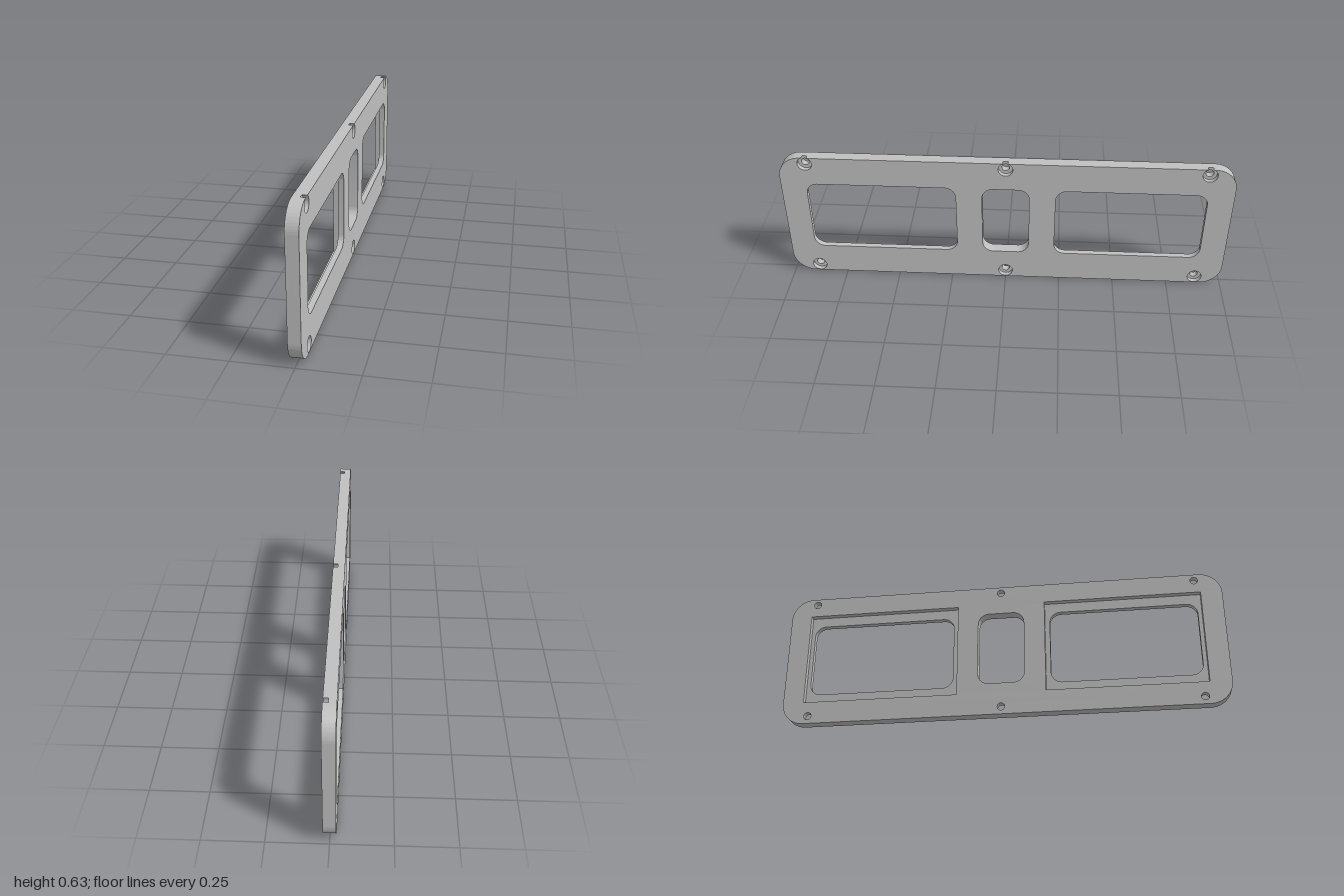
import * as THREE from 'three';
import { toCreasedNormals } from 'three/addons/utils/BufferGeometryUtils.js';

const TOP = 0.628, HALF_T = 0.026, CORNER = 0.1;
const SCREW_Z = [0.88, 0, -0.88], SCREW_TOP = 0.598, SCREW_LOW = 0.035;
const HOLE_R = 0.017, BORE_R = 0.032;

// Rounded rectangle as a path (radius 0 gives sharp corners)
function rect(u0, u1, v0, v1, r) {
  const p = new THREE.Path();
  if (r === 0) {
    p.moveTo(u0, v0).lineTo(u1, v0).lineTo(u1, v1).lineTo(u0, v1).closePath();
    return p;
  }
  p.absarc(u1 - r, v0 + r, r, -Math.PI / 2, 0);
  p.absarc(u1 - r, v1 - r, r, 0, Math.PI / 2);
  p.absarc(u0 + r, v1 - r, r, Math.PI / 2, Math.PI);
  p.absarc(u0 + r, v0 + r, r, Math.PI, Math.PI * 1.5);
  p.closePath();
  return p;
}

function circle(u, v, r) {
  return new THREE.Path().absarc(u, v, r, 0, Math.PI * 2);
}

// Plate outline; the upper counterbores break through the top edge when notched
function outline(notched) {
  const s = new THREE.Shape(), r = CORNER;
  s.absarc(1 - r, r, r, -Math.PI / 2, 0);
  s.absarc(1 - r, TOP - r, r, 0, Math.PI / 2);
  if (notched) {
    const a = Math.asin((TOP - SCREW_TOP) / BORE_R);
    for (const u of SCREW_Z) s.absarc(u, SCREW_TOP, BORE_R, a, Math.PI - a, true);
  }
  s.absarc(r - 1, TOP - r, r, Math.PI / 2, Math.PI);
  s.absarc(r - 1, r, r, Math.PI, Math.PI * 1.5);
  s.closePath();
  return s;
}

export function createModel() {
  const group = new THREE.Group();
  group.name = 'framePlate';
  const grey = new THREE.MeshStandardMaterial({ color: 0xc0c0c0 });
  grey.name = 'plain grey';

  const centreWindow = () => rect(-0.105, 0.105, 0.147, 0.493, 0.05);
  const sideWindows = () => [
    rect(0.222, 0.887, 0.147, 0.493, 0.05), rect(-0.887, -0.222, 0.147, 0.493, 0.05)];
  const recesses = () => [
    rect(0.2, 0.905, 0.102, 0.538, 0), rect(-0.905, -0.2, 0.102, 0.538, 0)];
  const screws = (r, rows) => rows.flatMap(v => SCREW_Z.map(u => circle(u, v, r)));
  const bothRows = [SCREW_LOW, SCREW_TOP];

  // Each layer is extruded through the thickness, then turned to face +x
  function layer(name, x0, x1, notched, holes) {
    const shape = outline(notched);
    shape.holes.push(centreWindow(), ...holes);
    const extruded = new THREE.ExtrudeGeometry(shape,
      { depth: x1 - x0, bevelEnabled: false, curveSegments: 20 });
    extruded.rotateY(Math.PI / 2);
    extruded.translate(x0, 0, 0);
    const mesh = new THREE.Mesh(toCreasedNormals(extruded, 0.6), grey);
    mesh.name = name;
    group.add(mesh);
  }

  // Inner layer with the square-cornered panel recesses
  layer('recessLayer', -HALF_T, 0, false, [...recesses(), ...screws(HOLE_R, bothRows)]);
  // Middle layer that forms the counterbore floors
  layer('middleLayer', 0, 0.005, false, [...sideWindows(), ...screws(HOLE_R, bothRows)]);
  // Outer face with counterbores, the upper row open at the top edge
  layer('counterboreLayer', 0.005, HALF_T, true,
    [...sideWindows(), ...screws(BORE_R, [SCREW_LOW])]);

  return group;
}
